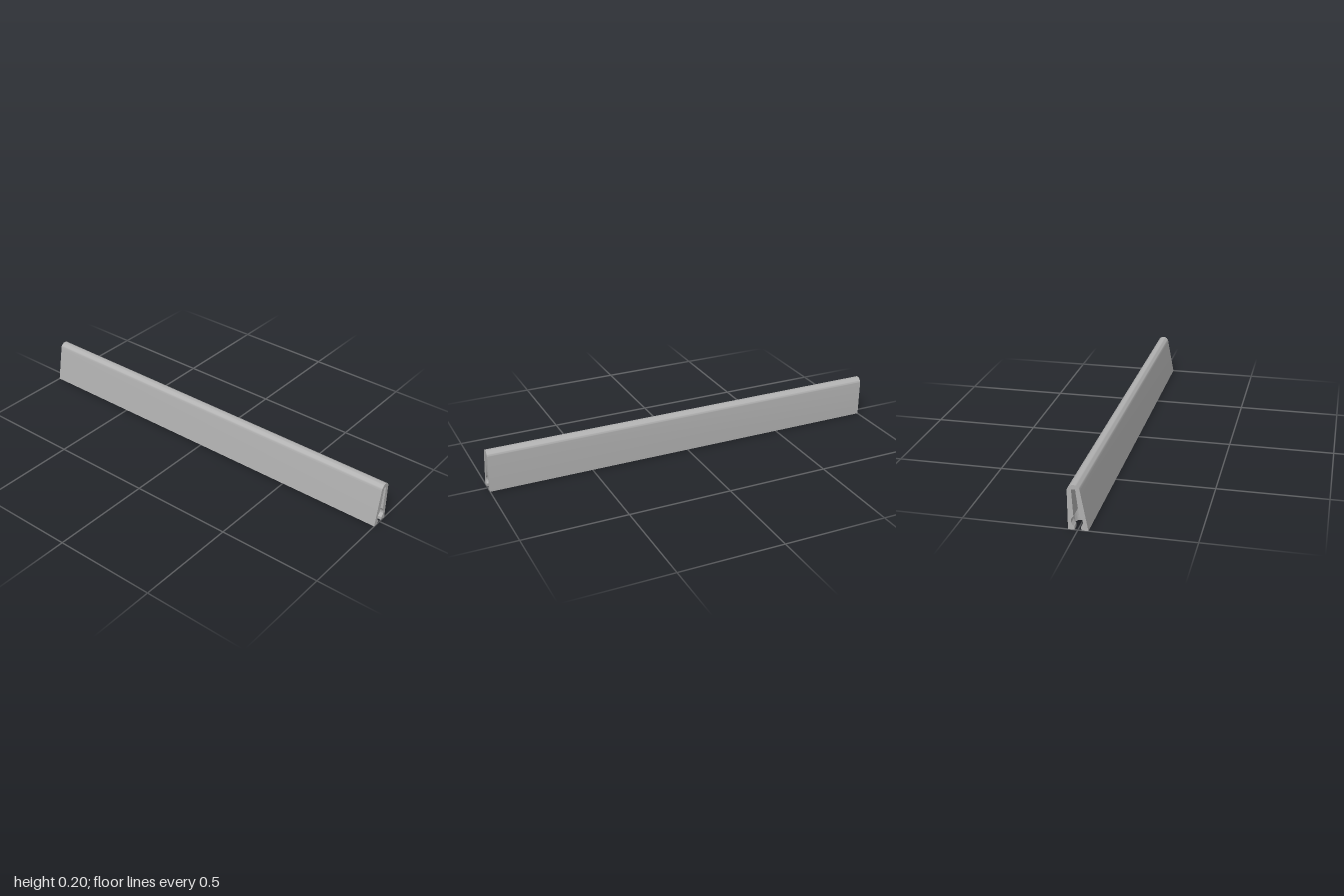
import * as THREE from 'three';
import { toCreasedNormals } from 'three/addons/utils/BufferGeometryUtils.js';

const SLOT_TOP = 0.183, LEDGE = 0.062, HOLE_Z = 0.06, HOLE_R = 0.031;
const SLOT_END = 0.078, BORE_Y = 0.037, BORE_R = 0.0255;

const arc = (r, d) => Math.sqrt(Math.max(0, r * r - d * d));

// Slot centre line leans with the body
const centre = (y) => -0.001 + 0.0175 * (y / SLOT_TOP);

// Half width of the end recess at height y and depth d from the end face
function halfWidth(y, d) {
  const s = 0.0145 - 0.006 * (y / SLOT_TOP);
  let w = d < SLOT_END - s ? s : d < SLOT_END ? arc(s, d - SLOT_END + s) : 0;
  if (y < LEDGE) w = Math.max(w, arc(HOLE_R, d - HOLE_Z));
  if (d < HOLE_Z) w = Math.max(w, arc(BORE_R, y - BORE_Y));
  return w;
}

// Grid surface from a point rule
function loft(cols, rows, point) {
  const g = new THREE.PlaneGeometry(1, 1, cols - 1, rows - 1);
  for (let j = 0; j < rows; j++)
    for (let i = 0; i < cols; i++) g.attributes.position.setXYZ(j * cols + i, ...point(i, j));
  return toCreasedNormals(g, 0.6);
}

// Heights up the recess wall, with a pair at the ledge above the hole
const heights = [0, 0.008, 0.0155];
for (let k = 1; k < 10; k++) heights.push(0.0155 + k * 0.0046);
heights.push(LEDGE - 0.0001, LEDGE, 0.12, SLOT_TOP);

// Depths into the recess, finer around the rounded back
const depths = [0];
for (let k = 0; k <= 24; k++) depths.push(HOLE_Z - HOLE_R * Math.cos((k / 24) * Math.PI));
depths.push(SLOT_END - 0.0003, SLOT_END, HOLE_Z - 0.0001);
depths.sort((a, b) => a - b);

const recessRing = (d) => [
  ...heights.map((y) => [centre(y) - halfWidth(y, d), y]),
  ...[...heights].reverse().map((y) => [centre(y) + halfWidth(y, d), y]),
];

// Outer profile: leaning left side, round top, upright right side
function outerProfile() {
  const pts = [[-0.045, 0], [-0.0115, 0.178]];
  const start = THREE.MathUtils.degToRad(169.5);
  for (let k = 0; k <= 20; k++) {
    const a = start * (1 - k / 20);
    pts.push([0.016 + 0.0275 * Math.cos(a), 0.1752 + 0.0275 * Math.sin(a)]);
  }
  pts.push([0.0434, 0.172], [0.0415, 0]);
  return pts;
}

const shapeOf = (pts) => new THREE.Shape(pts.map(([x, y]) => new THREE.Vector2(x, y)));

export function createModel() {
  const group = new THREE.Group();
  const grey = new THREE.MeshStandardMaterial({ color: 0xb0b0b0, side: THREE.DoubleSide });
  grey.name = 'grey';
  const add = (name, geometry) => {
    const mesh = new THREE.Mesh(geometry, grey);
    mesh.name = name;
    group.add(mesh);
    return mesh;
  };

  // Long outer skin
  const outer = outerProfile();
  add('outerSkin', loft(outer.length, 2, (i, j) => [...outer[i], j ? 1 : -1]));

  // Underside with a keyhole opening at each end
  const edge = (side, end, list) =>
    list.map((d) => [centre(0) + side * halfWidth(0, d), end * (1 - d)]);
  const inward = depths, outward = [...depths].reverse();
  const underside = new THREE.ShapeGeometry(shapeOf([
    [-0.045, -1], ...edge(-1, -1, inward), ...edge(1, -1, outward), [0.0415, -1],
    [0.0415, 1], ...edge(1, 1, inward), ...edge(-1, 1, outward), [-0.045, 1],
  ].filter((p, i, a) => !i || Math.hypot(p[0] - a[i - 1][0], p[1] - a[i - 1][1]) > 1e-6)));
  underside.rotateX(Math.PI / 2);
  add('underside', underside);

  // End faces and the recesses behind them
  const mouth = recessRing(0);
  for (const [name, end] of [['front', 1], ['back', -1]]) {
    const face = new THREE.ShapeGeometry(shapeOf([...outer, ...[...mouth].reverse()]));
    add(name + 'EndFace', face).position.z = end;
    const rings = depths.map(recessRing);
    add(name + 'Recess', loft(mouth.length, depths.length,
      (i, j) => [...rings[j][i], end * (1 - depths[j])]));
  }
  return group;
}
